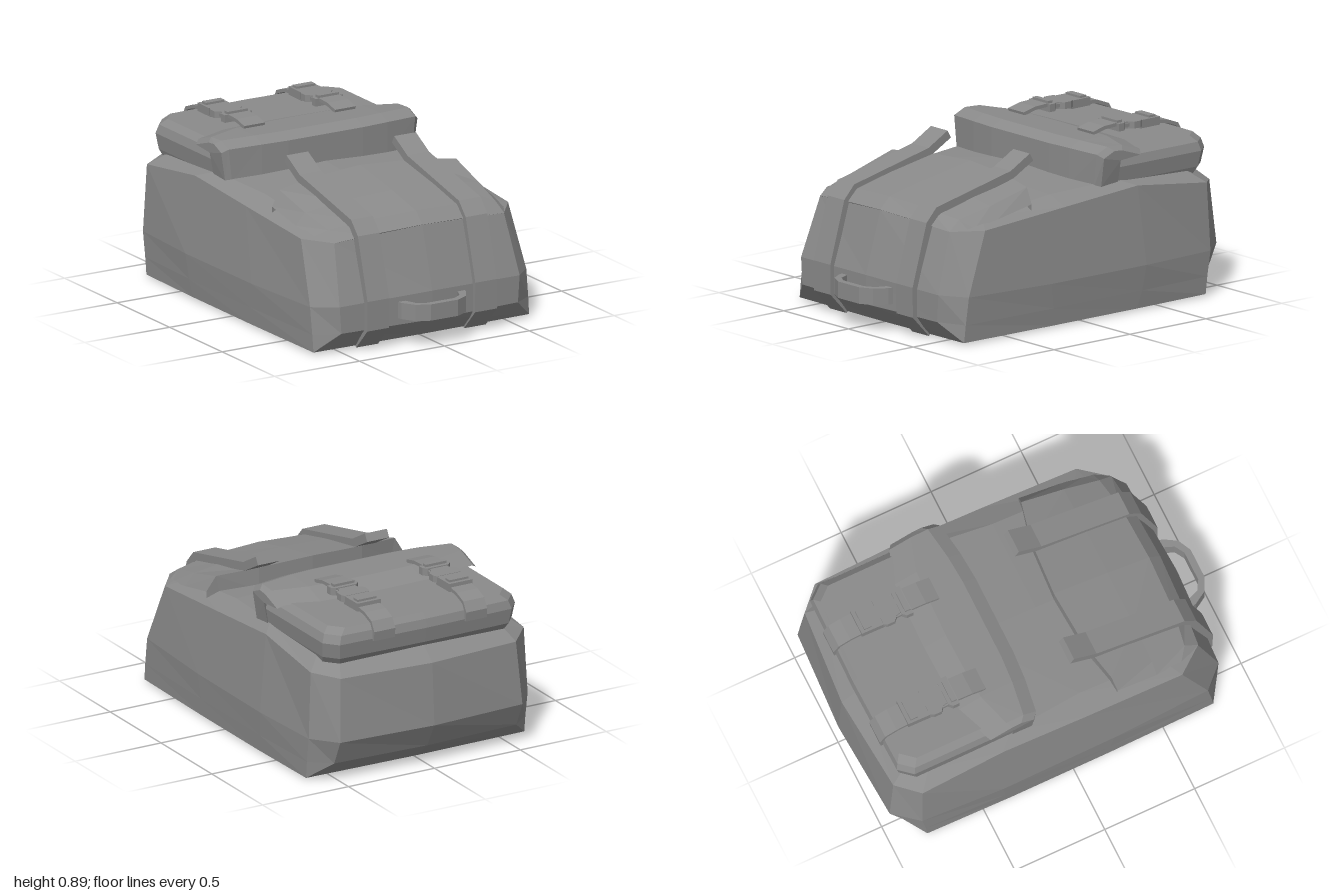
import * as THREE from 'three';

const mat = new THREE.MeshStandardMaterial({ color: 0x8a8a8a, flatShading: true, side: THREE.DoubleSide });

function add(parent, name, geo) {
  const mesh = new THREE.Mesh(geo, mat);
  mesh.name = name;
  parent.add(mesh);
}

// Skin a list of equal-length point rows; closed rows wrap round and get end caps
function loft(rows, closed = true) {
  const pos = [], n = rows[0].length, last = rows.length - 1;
  const tri = (...p) => p.forEach(v => pos.push(...v));
  for (let i = 0; i < last; i++) {
    for (let j = 0; j < (closed ? n : n - 1); j++) {
      const k = (j + 1) % n;
      const a = rows[i][j], b = rows[i][k], c = rows[i + 1][k], d = rows[i + 1][j];
      tri(a, d, c);
      tri(a, c, b);
    }
  }
  if (closed) for (let j = 1; j < n - 1; j++) {
    tri(rows[0][0], rows[0][j], rows[0][j + 1]);
    tri(rows[last][0], rows[last][j + 1], rows[last][j]);
  }
  const g = new THREE.BufferGeometry();
  g.setAttribute('position', new THREE.Float32BufferAttribute(pos, 3));
  g.computeVertexNormals();
  return g;
}

// Complete a half outline (back centre, round +x, to front centre)
const mirrorRing = half => [...half, ...half.slice(1, -1).reverse().map(([x, y, z]) => [-x, y, z])];

// Complete a half row that starts on the centre line
const mirrorRow = half => [...half.slice(1).reverse().map(([x, y, z]) => [-x, y, z]), ...half];

// Band of even thickness on the inner (left-hand) side of a 2D path
function bandShape(path, t) {
  const inner = path.map((p, i) => {
    const a = path[Math.max(i - 1, 0)], b = path[Math.min(i + 1, path.length - 1)];
    const dx = b[0] - a[0], dy = b[1] - a[1], l = Math.hypot(dx, dy);
    return [p[0] - dy / l * t, p[1] + dx / l * t];
  });
  return new THREE.Shape([...path, ...inner.reverse()].map(p => new THREE.Vector2(...p)));
}

// Extrude a (z, y) shape sideways, centred on x
function sideways(shape, width, x) {
  const g = new THREE.ExtrudeGeometry(shape, { depth: width, bevelEnabled: false });
  return g.translate(0, 0, -width / 2).rotateY(-Math.PI / 2).translate(x, 0, 0);
}

// Flat part with an (x, z) outline mirrored in x, lying between two heights
function plate(half, y0, y1, x = 0) {
  const pts = [...half, ...half.slice().reverse().map(([a, z]) => [-a, z])];
  const s = new THREE.Shape(pts.map(([a, z]) => new THREE.Vector2(a, -z)));
  const g = new THREE.ExtrudeGeometry(s, { depth: y1 - y0, bevelEnabled: false });
  return g.rotateX(-Math.PI / 2).translate(x, y0, 0);
}

export function createModel() {
  const model = new THREE.Group();
  model.name = 'backpack';

  // Main bag: rings from the flat base up to the ridge of the top
  add(model, 'mainBag', loft([
    [[0, .01, -.82], [.635, .01, -.81], [.635, .01, -.81], [.643, .01, -.35], [.643, .01, .2], [.635, .01, .78], [.635, .01, .78], [0, .01, .79]],
    [[0, .1, -.93], [.53, .1, -.91], [.636, .1, -.82], [.65, .1, -.38], [.648, .1, .2], [.636, .1, .77], [.52, .11, .86], [0, .11, .885]],
    [[0, .23, -1], [.53, .23, -.97], [.637, .23, -.84], [.66, .23, -.4], [.655, .23, .22], [.637, .24, .75], [.53, .25, .86], [0, .26, .885]],
    [[0, .56, -.98], [.51, .56, -.94], [.62, .58, -.83], [.615, .635, -.38], [.615, .6, .1], [.61, .56, .62], [.5, .555, .76], [0, .58, .79]],
    [[0, .64, -.88], [.47, .63, -.86], [.54, .64, -.76], [.54, .665, -.3], [.5, .645, .1], [.5, .6, .55], [.42, .6, .66], [0, .61, .7]],
    [[0, .64, -.87], [0, .65, -.86], [0, .66, -.76], [0, .69, -.3], [0, .665, .1], [0, .62, .55], [0, .61, .66], [0, .61, .7]],
  ].map(mirrorRing)));

  // Raised front panel: back wall, crown, then sloping down into the front edge
  add(model, 'frontPanel', loft([
    [[0, .61, .2], [.3, .61, .22], [.5, .61, .27], [.57, .59, .28]],
    [[0, .743, .2], [.3, .73, .22], [.52, .712, .27], [.57, .635, .28]],
    [[0, .69, .5], [.3, .68, .5], [.51, .65, .5], [.565, .59, .5]],
    [[0, .64, .73], [.3, .63, .72], [.49, .605, .69], [.555, .565, .64]],
    [[0, .582, .792], [.3, .572, .78], [.5, .556, .762], [.56, .55, .68]],
    [[0, .55, .75], [.3, .55, .74], [.48, .54, .72], [.53, .53, .65]],
  ].map(mirrorRow), false));

  // Two broad straps running from the base up over the front panel
  const strapPath = [[.79, 0], [.895, .11], [.897, .265], [.805, .585], [.74, .655], [.25, .765], [.125, .835]];
  for (const [name, x] of [['rightStrap', -.325], ['leftStrap', .31]])
    add(model, name, sideways(bandShape(strapPath, .045), .128, x));

  // Carry handle on the front: angular loop traced outside then inside
  add(model, 'handle', plate([
    [.08, .965], [.13, .935], [.16, .86], [.2, .86], [.19, .9], [.15, .965], [.08, 1],
  ], .145, .23));

  // Pocket on the top end of the bag
  const pocketRing = (y, x, back, front) =>
    mirrorRing([[0, y, back - .01], [x - .06, y, back], [x, y, back + .07], [x, y, front], [0, y, front]]);
  add(model, 'pocket', loft([
    pocketRing(.59, .53, -.86, -.2),
    pocketRing(.65, .55, -.9, -.2),
    pocketRing(.73, .56, -.915, -.2),
    pocketRing(.775, .545, -.905, -.2),
    pocketRing(.805, .51, -.88, -.2),
  ]));

  // Lid folded over the front of the pocket
  const lidRow = (x, back, front, top, xLow) => [
    [x, .77, front - .11], [xLow, .65, front - .11], [xLow, .645, front],
    [x, top - .03, front], [x, top, front - .07], [x, top - .005, back + .12], [x, top - .045, back],
  ];
  const lidHalf = [[0, -.52, -.13, .85, 0], [.22, -.515, -.13, .85, .22], [.37, -.505, -.14, .85, .37],
    [.55, -.45, -.165, .845, .53], [.578, -.43, -.19, .825, .555]];
  add(model, 'pocketLid', loft([
    ...lidHalf.slice(1).reverse().map(([x, b, f, t, l]) => lidRow(-x, b, f, t, -l)),
    ...lidHalf.map(h => lidRow(...h)),
  ]));

  // Buckled straps holding the lid down
  const webPath = [[-.345, .86], [-.42, .878], [-.5, .882], [-.56, .868], [-.72, .862], [-.84, .845], [-.905, .82], [-.935, .77], [-.93, .72]];
  for (const [name, x] of [['rightBuckle', -.285], ['leftBuckle', .25]]) {
    const buckle = new THREE.Group();
    buckle.name = name;
    add(buckle, 'webbing', sideways(bandShape(webPath, .018), .122, x));
    add(buckle, 'adjuster', plate([[.08, -.5], [.08, -.535], [.06, -.555]], .84, .88, x));
    add(buckle, 'adjusterBar', plate([[.06, -.505], [.06, -.535]], .87, .893, x));
    add(buckle, 'clip', plate([[.045, -.54], [.055, -.58], [.08, -.6], [.08, -.64], [.07, -.66]], .84, .875, x));
    add(buckle, 'socket', plate([[.07, -.65], [.068, -.78]], .83, .873, x));
    add(buckle, 'socketBar', plate([[.055, -.72], [.055, -.76]], .86, .884, x));
    model.add(buckle);
  }
  return model;
}
